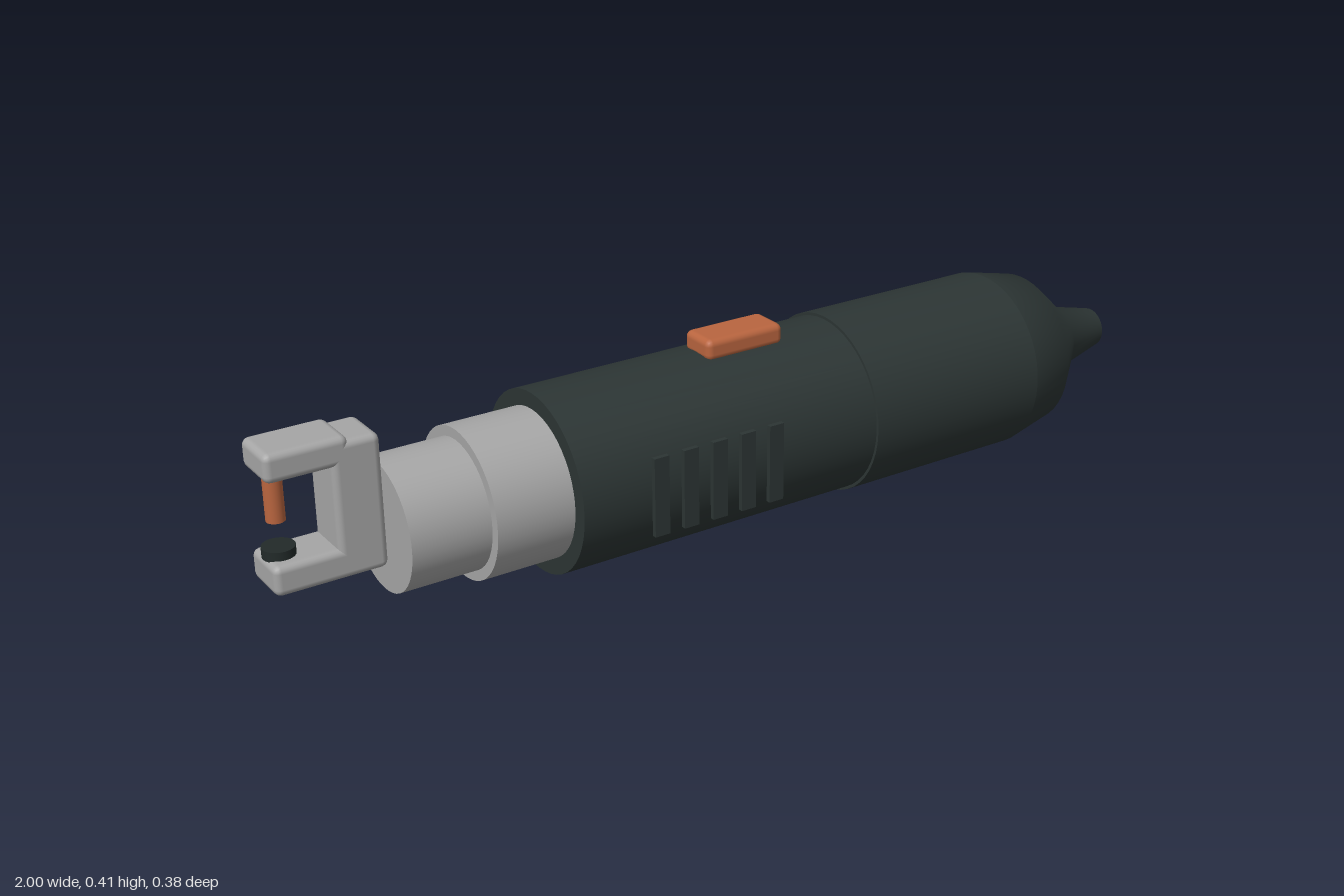
import * as THREE from 'three';
import { RoundedBoxGeometry } from 'three/addons/geometries/RoundedBoxGeometry.js';

const paint = (name, color) => {
  const m = new THREE.MeshStandardMaterial({ color });
  m.name = name;
  return m;
};

export function createModel() {
  const shell = paint('dark shell', 0x2c3534);
  const black = paint('black', 0x222a29);
  const metal = paint('grey metal', 0xa6a6a6);
  const copper = paint('copper orange', 0xb9653f);

  const model = new THREE.Group();
  model.name = 'handTool';
  const axisY = 0.192, axisZ = -0.002;

  const add = (name, geometry, material, x, y, z) => {
    const mesh = new THREE.Mesh(geometry, material);
    mesh.name = name;
    mesh.position.set(x, y, z);
    model.add(mesh);
    return mesh;
  };

  // Round section lying along x, from x0 to x1
  const barrel = (name, x0, x1, r, material) => {
    const g = new THREE.CylinderGeometry(r, r, x1 - x0, 48).rotateZ(-Math.PI / 2);
    add(name, g, material, (x0 + x1) / 2, axisY, axisZ);
  };

  // Box given by its x and y limits and depth
  const block = (name, x0, x1, y0, y1, depth, radius, material) =>
    add(name, new RoundedBoxGeometry(x1 - x0, y1 - y0, depth, 2, radius), material,
      (x0 + x1) / 2, (y0 + y1) / 2, 0);

  // Stepped body
  barrel('frontCollar', -0.77, -0.608, 0.13, metal);
  barrel('rearCollar', -0.608, -0.445, 0.151, metal);
  barrel('grip', -0.445, 0.24, 0.184, shell);
  barrel('rearHousing', 0.24, 0.67, 0.19, shell);

  // Tapered tail with a flat end
  const profile = [[0.19, 0.67], [0.166, 0.78], [0.069, 0.89], [0.043, 1]]
    .map(([r, x]) => new THREE.Vector2(r, x));
  add('tail', new THREE.LatheGeometry(profile, 48).rotateZ(-Math.PI / 2), shell, 0, axisY, axisZ);
  add('tailEnd', new THREE.CircleGeometry(0.043, 48).rotateY(Math.PI / 2), shell, 1, axisY, axisZ);

  // Thumb switch
  block('switch', -0.075, 0.106, 0.365, 0.41, 0.086, 0.014, copper);

  // Cooling slats on the front side
  for (let i = 0; i < 5; i++) {
    add('slat', new THREE.BoxGeometry(0.033, 0.163, 0.01), shell, -0.281 + i * 0.0662, 0.193, 0.188);
  }

  // C-shaped jaw
  block('jawSpine', -0.875, -0.78, 0.133, 0.4, 0.106, 0.014, metal);
  block('upperJaw', -1, -0.84, 0.353, 0.41, 0.106, 0.014, metal);
  block('lowerJaw', -1, -0.84, 0.133, 0.193, 0.106, 0.014, metal);

  // Pin and anvil
  add('pin', new THREE.CylinderGeometry(0.018, 0.018, 0.1, 24), copper, -0.968, 0.31, 0);
  add('anvil', new THREE.CylinderGeometry(0.031, 0.031, 0.02, 24), black, -0.968, 0.2, 0);

  return model;
}
